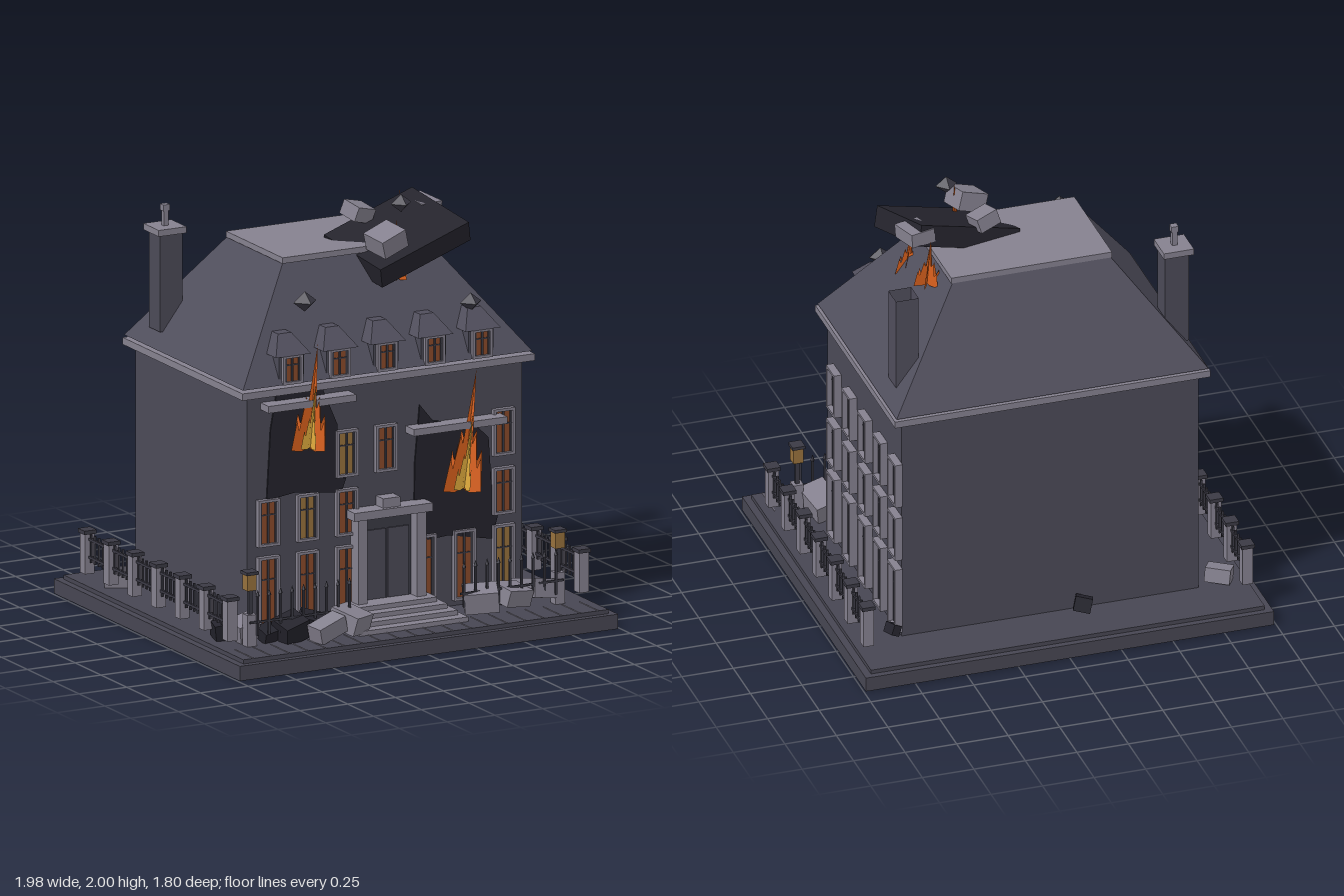
import * as THREE from 'three';

const mat = (name, color, side = THREE.FrontSide) => {
  const m = new THREE.MeshStandardMaterial({ color, side, flatShading: true });
  m.name = name;
  return m;
};

export function createModel() {
  const wall = mat('wall slate', 0x4b4a57), roofM = mat('roof slate', 0x504e5c, THREE.DoubleSide);
  const base = mat('ground stone', 0x474652), trim = mat('pale stone', 0x85818f);
  const char = mat('charcoal', 0x24232c, THREE.DoubleSide), iron = mat('iron', 0x3b3a45);
  const glow = mat('orange glass', 0x8a4a2a), amber = mat('amber glass', 0x97713c);
  const fire = mat('flame orange', 0xd65f1c, THREE.DoubleSide), hot = mat('flame yellow', 0xdca83c, THREE.DoubleSide);

  const model = new THREE.Group();
  model.name = 'burningHouse';

  const add = (name, geo, m, x = 0, y = 0, z = 0, parent = model) => {
    const mesh = new THREE.Mesh(geo, m);
    mesh.name = name;
    mesh.position.set(x, y, z);
    parent.add(mesh);
    return mesh;
  };
  // Box given by its minimum and maximum on each axis
  const box = (name, m, x0, x1, y0, y1, z0, z1, parent = model) =>
    add(name, new THREE.BoxGeometry(x1 - x0, y1 - y0, z1 - z0), m, (x0 + x1) / 2, (y0 + y1) / 2, (z0 + z1) / 2, parent);
  // Tapered block between two rectangles [x0, x1, z0, z1]
  const taper = (name, m, lo, hi, y0, y1, parent = model) => {
    const g = new THREE.BoxGeometry(1, 1, 1), p = g.attributes.position;
    for (let i = 0; i < p.count; i++) {
      const r = p.getY(i) > 0 ? hi : lo;
      p.setXYZ(i, p.getX(i) > 0 ? r[1] : r[0], p.getY(i) > 0 ? y1 : y0, p.getZ(i) > 0 ? r[3] : r[2]);
    }
    g.computeVertexNormals();
    return add(name, g, m, 0, 0, 0, parent);
  };

  // Ground
  box('groundSlab', base, -0.99, 0.99, 0, 0.07, -0.9, 0.9);
  box('groundTop', base, -0.955, 0.955, 0.07, 0.09, -0.87, 0.87);
  for (let i = 0; i < 20; i++) box('pavingLine', trim, -0.905 + i * 0.095, -0.901 + i * 0.095, 0.088, 0.093, 0.69, 0.868);

  // House body and roof
  box('walls', wall, -0.72, 0.72, 0.09, 1.22, -0.61, 0.47);
  box('cornice', trim, -0.765, 0.765, 1.215, 1.248, -0.65, 0.51);
  taper('mansardRoof', roofM, [-0.757, 0.757, -0.65, 0.5], [-0.385, 0.385, -0.344, 0.196], 1.26, 1.75);
  box('roofCap', trim, -0.39, 0.39, 1.75, 1.778, -0.344, 0.205);

  // Chimneys: one capped, one broken open
  box('leftChimney', wall, -0.717, -0.6, 1.33, 1.79, -0.485, -0.375);
  box('chimneyCap', trim, -0.733, -0.587, 1.79, 1.82, -0.508, -0.36);
  box('chimneyPot', trim, -0.672, -0.648, 1.82, 1.9, -0.447, -0.423);
  box('chimneyPotTop', trim, -0.677, -0.643, 1.89, 1.92, -0.452, -0.418);
  const shaft = new THREE.CylinderGeometry(0.055 * Math.SQRT2, 0.055 * Math.SQRT2, 0.455, 4, 1, true).rotateY(Math.PI / 4);
  add('openChimney', shaft, roofM, 0.65, 1.557, -0.43);

  // Framed window facing +z, centred on its origin
  const windowUnit = (name, w, h, glass, depth = 0.03) => {
    const g = new THREE.Group(), a = w / 2, b = h / 2, t = 0.013;
    g.name = name;
    box('glass', glass, -a, a, -b, b, 0, 0.008, g);
    for (const s of [-1, 1]) {
      box('frameSide', trim, s * a - t / 2, s * a + t / 2, -b, b, 0, depth, g);
      box('frameBar', trim, -a - t / 2, a + t / 2, s * b - t / 2, s * b + t / 2, 0, depth, g);
    }
    for (const s of [-1, 1]) box('innerEdge', iron, s * (a - 0.011) - 0.005, s * (a - 0.011) + 0.005, -b, b, 0, 0.012, g);
    box('mullion', iron, -0.005, 0.005, -b, b, 0, 0.014, g);
    box('transom', iron, -a, a, b * 0.35 - 0.003, b * 0.35 + 0.003, 0, 0.013, g);
    model.add(g);
    return g;
  };
  const rows = [[0.283, 0.32], [0.61, 0.21], [0.89, 0.21]];
  const frontColumns = [
    [[-0.615, glow], [-0.41, glow], [-0.205, glow], [0.205, glow], [0.41, glow], [0.615, amber]],
    [[-0.615, glow], [-0.41, amber], [-0.205, glow], [0.615, glow]],
    [[-0.205, amber], [0, glow], [0.615, glow]],
  ];
  rows.forEach(([y, h], r) => {
    for (const [x, m] of frontColumns[r]) windowUnit('frontWindow', 0.1, h, m, 0.025).position.set(x, y, 0.47);
    [0.323, 0.095, -0.127, -0.35, -0.566].forEach((z, i) => {
      const w = windowUnit('sideWindow', 0.102, h, i === 4 && r > 0 ? amber : glow, 0.036);
      w.position.set(0.72, y, z);
      w.rotation.y = Math.PI / 2;
    });
  });

  // Dormers
  for (let i = -2; i <= 2; i++) {
    const x = i * 0.248;
    box('dormerBody', wall, x - 0.065, x + 0.065, 1.262, 1.4, 0.36, 0.485);
    windowUnit('dormerWindow', 0.092, 0.125, glow, 0.02).position.set(x, 1.328, 0.485);
    taper('dormerRoof', roofM, [x - 0.092, x + 0.092, 0.36, 0.507], [x - 0.035, x + 0.035, 0.34, 0.42], 1.395, 1.483);
  }

  // Doorway and steps
  box('doorPanel', iron, -0.13, 0.13, 0.17, 0.58, 0.46, 0.485);
  for (const s of [-1, 1]) {
    box('doorLeaf', wall, s * 0.06 - 0.055, s * 0.06 + 0.055, 0.18, 0.51, 0.485, 0.493);
    box('pilaster', trim, s * 0.154 - 0.024, s * 0.154 + 0.024, 0.17, 0.58, 0.46, 0.545);
  }
  box('lintel', trim, -0.205, 0.205, 0.58, 0.62, 0.46, 0.56);
  box('keystone', trim, -0.045, 0.045, 0.62, 0.665, 0.46, 0.54);
  for (let i = 0; i < 4; i++) {
    const w = 0.285 - i * 0.025;
    box('step', trim, -w, w, 0.09, 0.112 + i * 0.022, 0.46, 0.755 - i * 0.055);
  }

  // Scorched breaches with fallen beams
  const breach = (pts) => {
    const s = new THREE.Shape(pts.map(([x, y]) => new THREE.Vector2(x, y)));
    add('scorchedBreach', new THREE.ExtrudeGeometry(s, { depth: 0.008, bevelEnabled: false }), char, 0, 0, 0.47);
  };
  breach([[-0.57, 1.215], [-0.6, 1.05], [-0.62, 0.715], [-0.47, 0.735], [-0.23, 0.705], [-0.205, 0.77],
    [-0.26, 0.78], [-0.25, 1.03], [-0.33, 1.215]]);
  breach([[0.18, 1.07], [0.155, 0.8], [0.15, 0.5], [0.2, 0.42], [0.33, 0.43], [0.56, 0.385], [0.59, 0.5],
    [0.555, 0.65], [0.54, 0.87], [0.46, 0.95], [0.25, 0.985]]);
  box('leftBeam', trim, -0.65, -0.19, 1.15, 1.183, 0.47, 0.55);
  box('rightBeam', trim, 0.11, 0.6, 0.945, 0.978, 0.47, 0.55);

  // Flames: crossed jagged sheets, leaning sideways
  const outline = [[-0.5, 0.02], [-0.4, 0.3], [-0.32, 0.2], [-0.2, 0.48], [-0.13, 0.4], [0, 1],
    [0.1, 0.42], [0.2, 0.5], [0.3, 0.24], [0.4, 0.33], [0.5, 0.02], [0.1, 0], [0, 0.03], [-0.2, 0]];
  const flame = (name, x, y, z, w, h, lean, yellow = true) => {
    const g = new THREE.Group();
    g.name = name;
    g.position.set(x, y, z);
    model.add(g);
    const sheets = (n, m, sw, sh, dz) => {
      for (let i = 0; i < n; i++) {
        const s = new THREE.Shape(outline.map(([u, v]) => new THREE.Vector2(u * sw, v * sh)));
        const geo = new THREE.ShapeGeometry(s).rotateY(i * Math.PI / n);
        geo.applyMatrix4(new THREE.Matrix4().makeShear(0, 0, lean / h, 0, 0, 0));
        add('flameSheet', geo, m, 0, 0.012 * (m === hot), dz, g);
      }
    };
    sheets(3, fire, w, h, 0);
    if (yellow) sheets(2, hot, w * 0.55, h * 0.62, 0.02);
  };
  flame('leftFlame', -0.44, 0.945, 0.545, 0.18, 0.5, 0.05);
  flame('rightFlame', 0.365, 0.65, 0.545, 0.2, 0.57, 0.075);
  flame('roofFlame', 0.17, 1.62, 0.27, 0.11, 0.29, 0, false);
  flame('roofFlame', 0.46, 1.68, -0.2, 0.13, 0.23, -0.02, false);
  flame('roofFlame', 0.46, 1.58, 0.1, 0.11, 0.25, -0.03, false);

  // Tilted blocks: [x, y, z, width, height, depth, rx, ry, rz]
  const chunk = (name, m, [x, y, z, w, h, d, rx, ry, rz]) =>
    add(name, new THREE.BoxGeometry(w, h, d), m, x, y, z).rotation.set(rx, ry, rz);
  chunk('brokenRoofSlab', char, [0.255, 1.775, 0.12, 0.53, 0.1, 0.41, 0.22, 0.21, 0.24]);
  [[0.13, 1.88, -0.03, 0.11, 0.07, 0.11, 0.2, 0.2, -0.3], [0.11, 1.82, 0.28, 0.14, 0.09, 0.14, 0.15, 0.2, 0.3],
    [0.465, 1.87, -0.04, 0.12, 0.065, 0.16, 0.1, 0.2, -0.05],
    [-0.79, 0.15, 0.57, 0.11, 0.09, 0.11, 0.2, 0.1, 0.2], [-0.31, 0.165, 0.71, 0.14, 0.09, 0.15, 0.3, 0.5, -0.2],
    [-0.45, 0.15, 0.75, 0.16, 0.08, 0.09, 0.1, 0.25, 0.25], [0.4, 0.165, 0.66, 0.16, 0.1, 0.13, 0.2, -0.4, 0.15],
    [0.56, 0.165, 0.66, 0.15, 0.08, 0.13, 0.2, 0.25, -0.2], [0.71, 0.16, 0.6, 0.13, 0.09, 0.18, -0.2, 0.2, -0.15],
    [-0.83, 0.13, -0.58, 0.12, 0.07, 0.09, 0.2, -0.5, 0.15],
  ].forEach((c) => chunk('stoneRubble', trim, c));
  [[-0.84, 0.14, 0.49, 0.13, 0.09, 0.11, 0.2, -0.2, 0.2], [-0.6, 0.15, 0.67, 0.13, 0.1, 0.12, 0.3, 0.2, 0.2],
    [-0.48, 0.15, 0.65, 0.12, 0.09, 0.12, 0.2, -0.4, -0.2], [-0.31, 0.14, 0.61, 0.1, 0.08, 0.08, 0.2, 0.6, 0.2],
    [-0.7, 0.13, 0.63, 0.08, 0.06, 0.08, 0.4, 0.2, 0.1], [0.6, 0.13, 0.55, 0.1, 0.07, 0.1, 0.2, 0.7, 0.2],
    [-0.14, 0.14, -0.67, 0.08, 0.07, 0.06, 0.3, -0.3, 0.3], [0.76, 0.13, -0.6, 0.04, 0.05, 0.08, 0.2, 0.2, 0.4],
  ].forEach((c) => chunk('charredRubble', char, c));

  // Flying shards
  for (const [x, y, z, r] of [[0.235, 1.958, 0.195, 0.053], [-0.39, 1.62, 0.42, 0.06], [0.48, 1.508, 0.415, 0.055]])
    add('flyingShard', new THREE.OctahedronGeometry(r), iron, x, y, z).scale.y = 0.8;

  // Side fences with stone posts
  for (const s of [-1, 1]) {
    const x = s * 0.92;
    for (let i = 0; i < 7; i++) {
      const z = -0.705 + i * 0.23;
      box('fencePost', trim, x - 0.025, x + 0.025, 0.135, 0.325, z - 0.025, z + 0.025);
      box('fencePostCap', iron, x - 0.032, x + 0.032, 0.325, 0.343, z - 0.032, z + 0.032);
      if (i < 6) for (let k = 1; k < 6; k++) {
        const pz = z + k * 0.0383;
        box('picket', iron, x - 0.005, x + 0.005, 0.19, 0.325, pz - 0.005, pz + 0.005);
      }
    }
    for (const y of [0.215, 0.3]) box('fenceRail', iron, x - 0.007, x + 0.007, y - 0.006, y + 0.006, -0.7, 0.67);

    // Front railing with spear tips
    for (let i = 0; i < 9; i++) {
      const px = s * (0.3 + i * 0.06);
      box('frontPicket', iron, px - 0.005, px + 0.005, 0.14, 0.33, 0.68, 0.69);
      add('spearTip', new THREE.ConeGeometry(0.011, 0.03, 4), iron, px, 0.343, 0.685);
    }
    box('frontRail', iron, s * 0.55 - 0.27, s * 0.55 + 0.27, 0.2, 0.21, 0.681, 0.689);

    // Lamp posts
    const lx = s * 0.806, lz = 0.655;
    box('lampPlinth', trim, lx - 0.025, lx + 0.025, 0.09, 0.24, lz - 0.025, lz + 0.025);
    box('lampPole', iron, lx - 0.009, lx + 0.009, 0.24, 0.355, lz - 0.009, lz + 0.009);
    box('lampGlass', amber, lx - 0.024, lx + 0.024, 0.355, 0.43, lz - 0.024, lz + 0.024);
    box('lampCap', iron, lx - 0.031, lx + 0.031, 0.43, 0.445, lz - 0.031, lz + 0.031);
  }
  return model;
}
